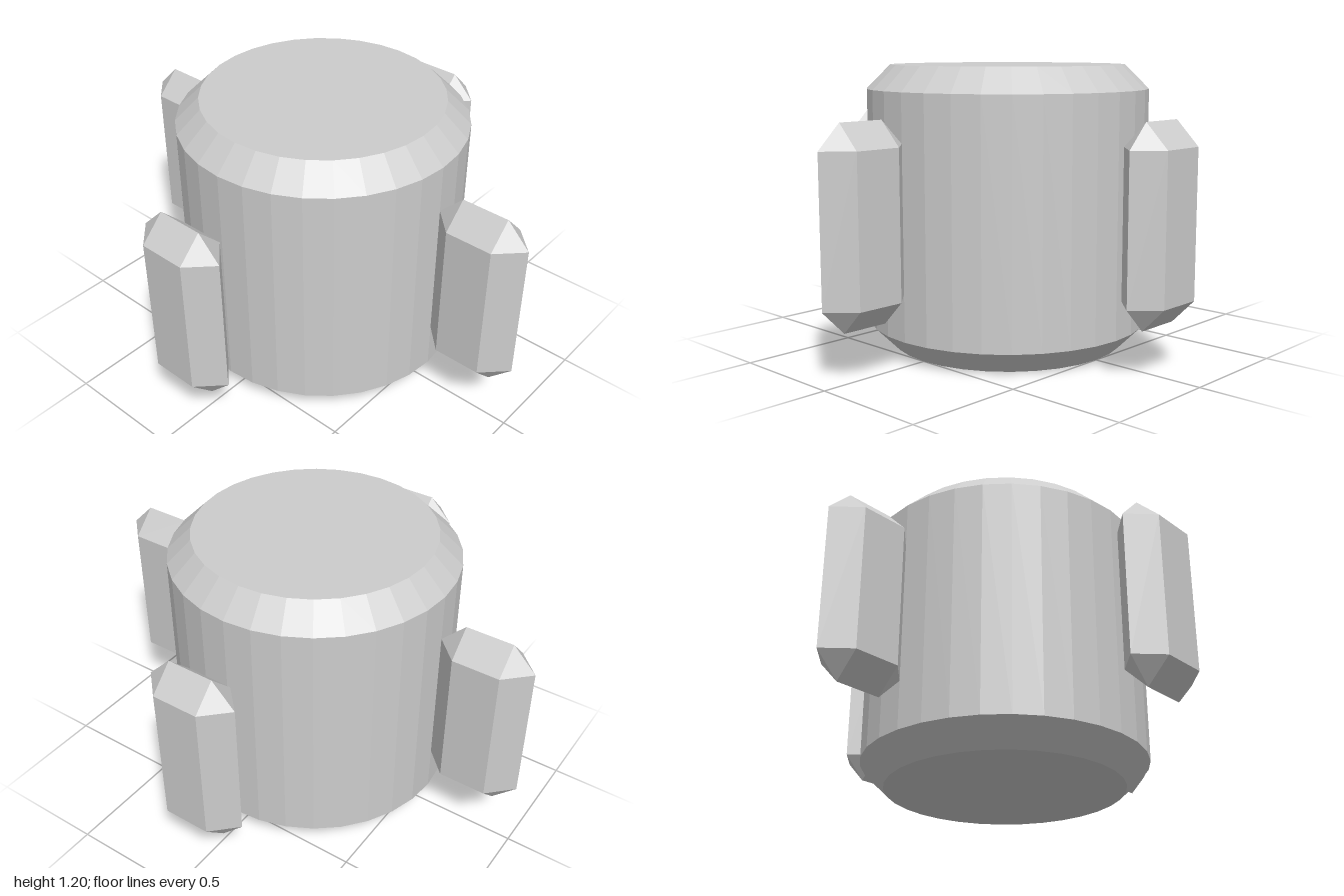
import * as THREE from 'three';
import { ConvexGeometry } from 'three/addons/geometries/ConvexGeometry.js';

// Bevelled slab: 0.4 wide, 0.8 high, 0.2 deep, chamfered to a ridge all round
function podGeometry() {
  const points = [];
  for (const sx of [-1, 1]) {
    for (const sy of [-1, 1]) {
      for (const z of [-0.1, 0.1]) points.push(new THREE.Vector3(sx * 0.1, sy * 0.3, z));
      points.push(new THREE.Vector3(sx * 0.2, sy * 0.3, 0));
      points.push(new THREE.Vector3(sx * 0.1, sy * 0.4, 0));
    }
  }
  return new ConvexGeometry(points);
}

export function createModel() {
  const model = new THREE.Group();
  const grey = new THREE.MeshStandardMaterial({ color: 0xcccccc, flatShading: true });
  grey.name = 'light grey';

  // Drum with chamfered rims
  const profile = [[0, 0], [0.5, 0], [0.6, 0.1], [0.6, 1.1], [0.5, 1.2], [0, 1.2]]
    .map(([r, y]) => new THREE.Vector2(r, y));
  const drum = new THREE.Mesh(new THREE.LatheGeometry(profile, 32), grey);
  drum.name = 'drum';
  model.add(drum);

  // Four upright pods around the drum, all facing the same way
  const geometry = podGeometry();
  const pods = { leftPod: [0.8, 0], rightPod: [-0.8, 0], frontPod: [0, 0.8], backPod: [0, -0.8] };
  for (const [name, [x, z]] of Object.entries(pods)) {
    const pod = new THREE.Mesh(geometry, grey);
    pod.name = name;
    pod.position.set(x, 0.6, z);
    model.add(pod);
  }
  return model;
}
